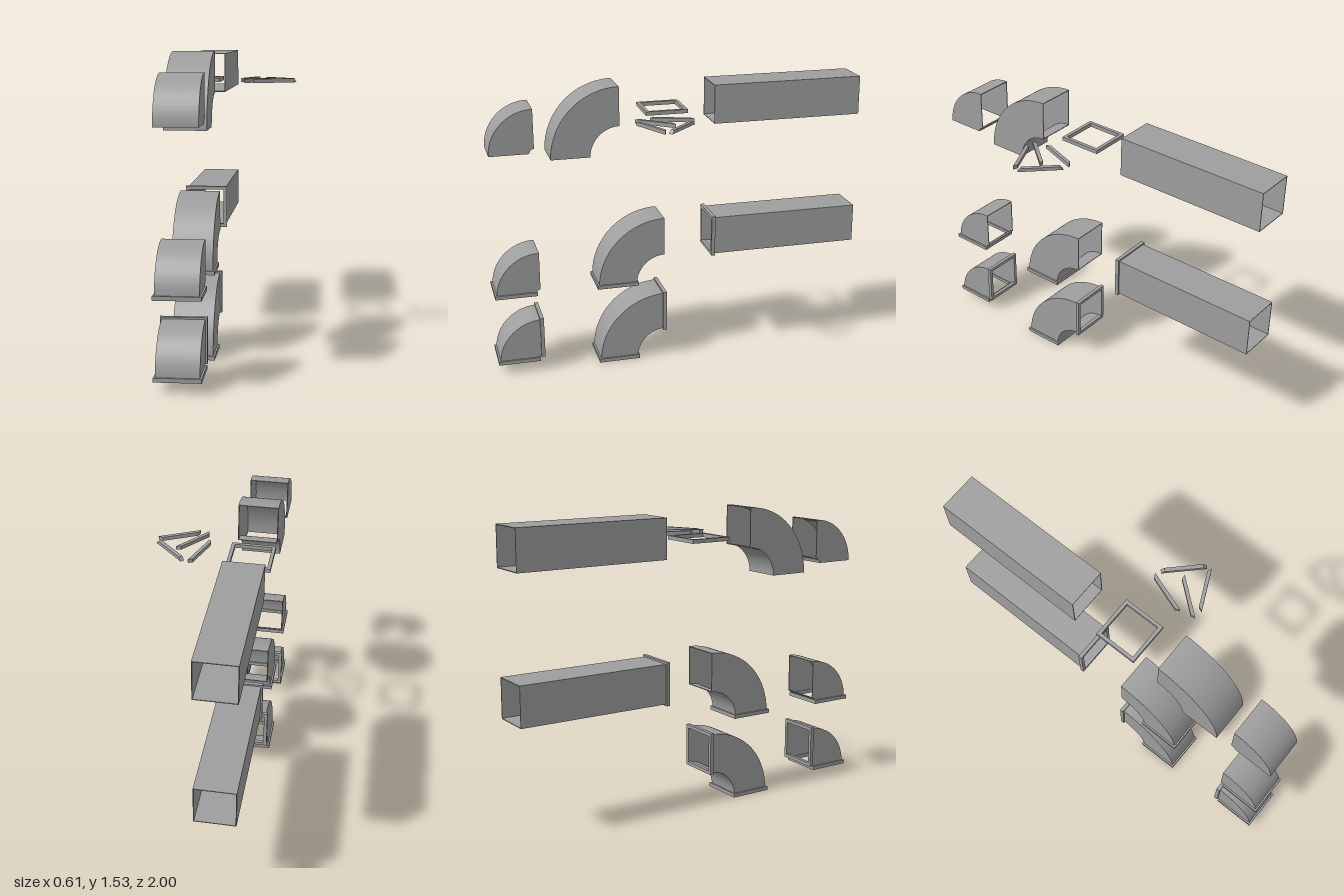
import * as THREE from 'three';
import { toCreasedNormals } from 'three/addons/utils/BufferGeometryUtils.js';

const CX = -0.193;      // common centre line of the ducts
const W = 0.206;        // duct width
const T = 0.004;        // sheet thickness
const FO = 0.224, FI = 0.188, FT = 0.02; // flange outer, inner, thickness
const mat = new THREE.MeshStandardMaterial({ color: 0x9e9e9e, side: THREE.DoubleSide });

function add(parent, geo, name, x = 0, y = 0, z = 0) {
  const m = new THREE.Mesh(geo, mat);
  m.name = name;
  m.position.set(x, y, z);
  parent.add(m);
  return m;
}

function squareRing(outer, inner, depth) {
  const rect = (P, s) => {
    const h = s / 2, p = new P();
    p.moveTo(-h, -h); p.lineTo(h, -h); p.lineTo(h, h); p.lineTo(-h, h); p.closePath();
    return p;
  };
  const s = rect(THREE.Shape, outer);
  s.holes.push(rect(THREE.Path, inner));
  return new THREE.ExtrudeGeometry(s, { depth, bevelEnabled: false }).translate(0, 0, -depth / 2);
}

// Quarter ring in the z-y plane, extruded across x
function quarterRing(r0, r1, width) {
  const s = new THREE.Shape();
  s.moveTo(r1, 0);
  s.absarc(0, 0, r1, 0, Math.PI / 2, false);
  s.lineTo(0, r0);
  s.absarc(0, 0, r0, Math.PI / 2, 0, true);
  s.closePath();
  const g = new THREE.ExtrudeGeometry(s, { depth: width, bevelEnabled: false, curveSegments: 24 });
  g.translate(0, 0, -width / 2).rotateY(-Math.PI / 2);
  return toCreasedNormals(g, 0.4);
}

// Hollow bend with optional flanges at the bottom and back openings
function elbow(root, name, y, z, inner, bottomFlange, backFlange) {
  const g = new THREE.Group();
  g.name = name;
  g.position.set(CX, y, z);
  const outer = inner + W, mid = inner + W / 2;
  add(g, quarterRing(outer - T, outer, W), 'outerWall');
  add(g, quarterRing(inner, inner + T, W), 'innerWall');
  for (const s of [-1, 1])
    add(g, quarterRing(inner + T, outer - T, T), 'sideWall', s * (W - T) / 2);
  if (bottomFlange) add(g, squareRing(FO, FI, FT), 'bottomFlange', 0, 0.003, mid).rotation.x = Math.PI / 2;
  if (backFlange) add(g, squareRing(FO, FI, FT), 'backFlange', 0, mid, 0.001);
  root.add(g);
}

// Straight hollow duct with an optional front flange
function duct(root, name, y, flange) {
  const g = new THREE.Group();
  g.name = name;
  g.position.set(CX, y, 0);
  add(g, squareRing(W, W - 2 * T, 0.81), 'ductWalls', 0, 0, -0.595);
  if (flange) add(g, squareRing(FO, FI, FT), 'frontFlange', 0, 0, -0.187);
  root.add(g);
}

// Loose mitred frame bar between two points on the floor plane
function bar(root, a, b, roll) {
  const w = (FO - FI) / 2, h = FO / 2;
  const s = new THREE.Shape();
  s.moveTo(-h, -w / 2); s.lineTo(h, -w / 2); s.lineTo(h - w, w / 2); s.lineTo(-h + w, w / 2); s.closePath();
  const g = new THREE.ExtrudeGeometry(s, { depth: FT, bevelEnabled: false }).translate(0, 0, -FT / 2);
  g.rotateX(roll);
  const m = add(root, g, 'frameBar', (a[0] + b[0]) / 2, 1.382, (a[1] + b[1]) / 2);
  m.rotation.y = -Math.atan2(b[1] - a[1], b[0] - a[0]);
}

export function createModel() {
  const root = new THREE.Group();
  root.name = 'ductKit';

  // Small and large bends: bare, one flange, two flanges
  elbow(root, 'smallElbowPlain', 1.212, 0.761, 0.025, false, false);
  elbow(root, 'smallElbowOneFlange', 0.441, 0.761, 0.025, true, false);
  elbow(root, 'smallElbowTwoFlanges', 0.061, 0.761, 0.025, true, true);
  elbow(root, 'largeElbowPlain', 1.170, 0.318, 0.155, false, false);
  elbow(root, 'largeElbowOneFlange', 0.441, 0.084, 0.155, true, false);
  elbow(root, 'largeElbowTwoFlanges', 0.007, 0.084, 0.155, true, true);

  // Straight ducts
  duct(root, 'ductPlain', 1.405, false);
  duct(root, 'ductFlanged', 0.677, true);

  // Assembled loose frame
  add(root, squareRing(FO, FI, FT), 'looseFrame', CX, 1.382, 0.068).rotation.x = Math.PI / 2;

  // Unassembled frame bars
  const side = Math.PI / 2;
  bar(root, [0.10, -0.02], [0.03, 0.18], side);
  bar(root, [0.14, -0.01], [0.297, 0.147], 0);
  bar(root, [0.18, 0.095], [0.05, 0.255], side);
  bar(root, [0.288, 0.17], [0.10, 0.26], side);
  return root;
}
